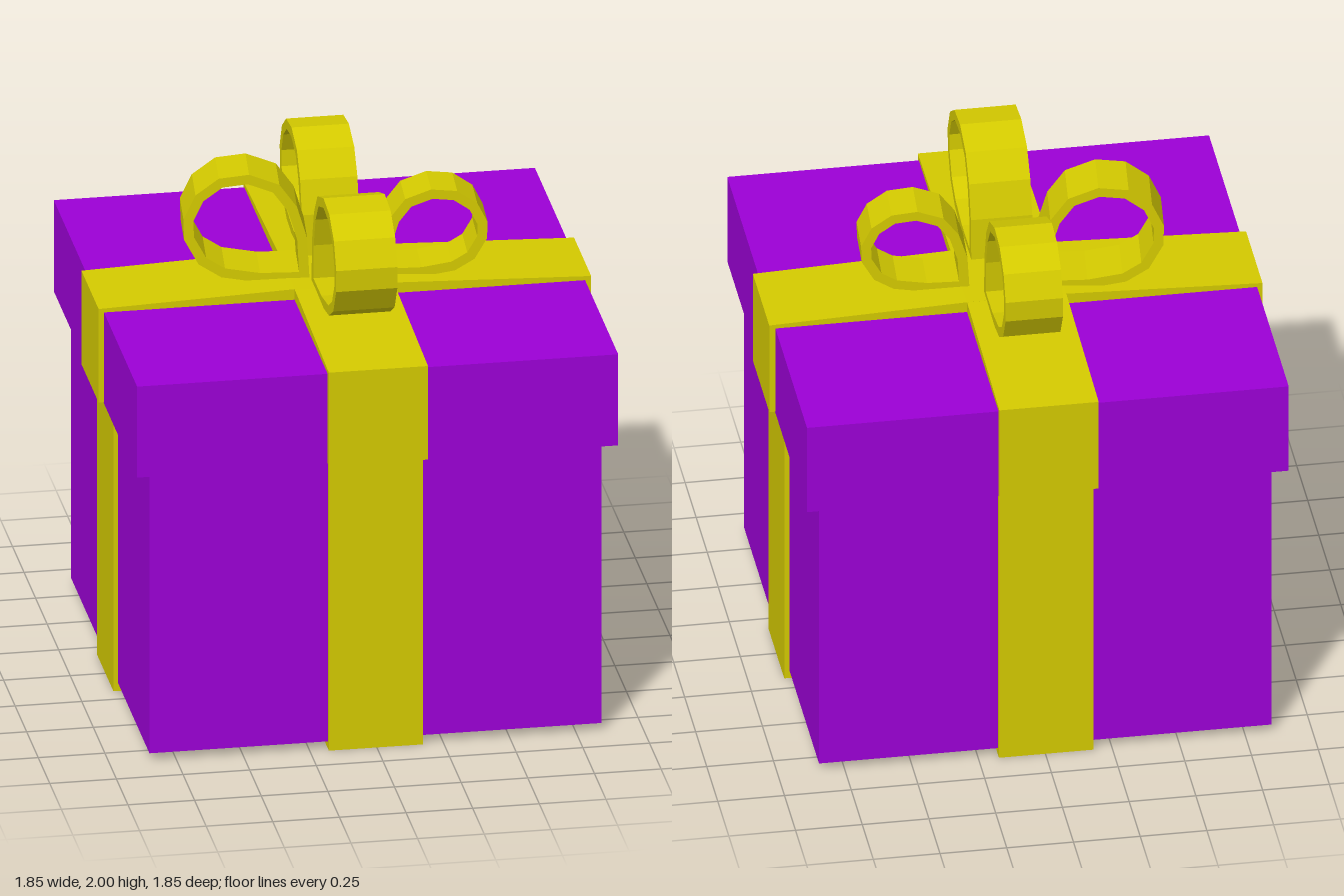
import * as THREE from 'three';

// The lid is an open shell, so the paper shows from both sides
const purple = new THREE.MeshStandardMaterial({ color: 0x9c00d6, side: THREE.DoubleSide });
purple.name = 'purple paper';
const gold = new THREE.MeshStandardMaterial({ color: 0xd4ca00 });
gold.name = 'gold ribbon';

function add(parent, name, geometry, material) {
  const mesh = new THREE.Mesh(geometry, material);
  mesh.name = name;
  parent.add(mesh);
  return mesh;
}

// Box given by its minimum and maximum corners
function block(parent, name, [x0, y0, z0], [x1, y1, z1], material) {
  const geometry = new THREE.BoxGeometry(x1 - x0, y1 - y0, z1 - z0);
  const mesh = add(parent, name, geometry, material);
  mesh.position.set((x0 + x1) / 2, (y0 + y1) / 2, (z0 + z1) / 2);
  return mesh;
}

// Unit outline of a bow loop: tip at the origin, clockwise, u outwards and v up
const LOOP = [[0, 0], [0.02, 0.4], [0.1, 0.69], [0.24, 0.9], [0.48, 1], [0.72, 0.97],
  [0.905, 0.82], [1, 0.6], [0.995, 0.41], [0.88, 0.18], [0.7, 0.055], [0.4, 0]];

// Moves every edge of a clockwise outline inwards by t
function inset(points, t) {
  const n = points.length;
  const normal = (a, b) => new THREE.Vector2(b.y - a.y, a.x - b.x).normalize();
  return points.map((p, i) => {
    const n1 = normal(points[(i + n - 1) % n], p);
    const n2 = normal(p, points[(i + 1) % n]);
    return n1.clone().add(n2).multiplyScalar(t / (1 + n1.dot(n2))).add(p);
  });
}

// Ribbon loop running from an inner to an outer point on the lid
function bowLoop(parent, name, [x0, z0], [x1, z1], top, width) {
  const base = 1.553;
  const length = Math.hypot(x1 - x0, z1 - z0);
  const outline = LOOP.map(([u, v]) => new THREE.Vector2(u * length, v * (top - base)));
  const shape = new THREE.Shape(outline);
  // The hole runs against the outline so that its walls face inwards
  shape.holes.push(new THREE.Path(inset(outline, 0.037).reverse()));
  const geometry = new THREE.ExtrudeGeometry(shape, { depth: width, bevelEnabled: false });
  geometry.translate(0, 0, -width / 2);
  const mesh = add(parent, name, geometry, gold);
  mesh.position.set(x0, base, z0);
  mesh.rotation.y = Math.atan2(z0 - z1, x1 - x0);
}

export function createModel() {
  const gift = new THREE.Group();
  gift.name = 'giftBox';

  // Box, reaching up inside the lid
  block(gift, 'boxBody', [-0.85, 0.03, -0.845], [0.845, 1.5, 0.85], purple);

  // Lid, with the bottom face left out
  const lid = block(gift, 'lid', [-0.905, 1.16, -0.905], [0.9, 1.525, 0.9], purple);
  const faces = Array.from(lid.geometry.index.array);
  faces.splice(18, 6);
  lid.geometry.setIndex(faces);
  lid.geometry.clearGroups();

  // Crossed ribbons around the box
  block(gift, 'boxRibbonAcross', [-0.868, 0, -0.18], [0.865, 1.5, 0.174], gold);
  block(gift, 'boxRibbonAlong', [-0.18, 0, -0.865], [0.174, 1.5, 0.868], gold);

  // Crossed ribbons folded over the lid, rising gently to the middle
  const profile = new THREE.Shape([[-0.925, 1.165], [-0.897, 1.165], [-0.897, 1.515],
    [0.894, 1.515], [0.894, 1.165], [0.923, 1.165], [0.923, 1.54], [0.18, 1.567],
    [-0.19, 1.567], [-0.925, 1.54]].map(([x, y]) => new THREE.Vector2(x, y)));
  for (const [name, turn] of [['lidRibbonAcross', 0], ['lidRibbonAlong', Math.PI / 2]]) {
    const geometry = new THREE.ExtrudeGeometry(profile, { depth: 0.372, bevelEnabled: false });
    geometry.translate(0, 0, -0.19);
    add(gift, name, geometry, gold).rotation.y = turn;
  }

  // Bow of four loops
  const bow = new THREE.Group();
  bow.name = 'bow';
  bowLoop(bow, 'frontLoop', [0.002, 0.105], [0.003, 0.635], 2, 0.23);
  bowLoop(bow, 'backLoop', [0, -0.125], [0, -0.615], 1.985, 0.215);
  bowLoop(bow, 'rightLoop', [-0.105, -0.02], [-0.57, -0.07], 1.985, 0.205);
  bowLoop(bow, 'leftLoop', [0.148, 0.01], [0.55, 0.037], 1.9, 0.178);
  gift.add(bow);

  return gift;
}
